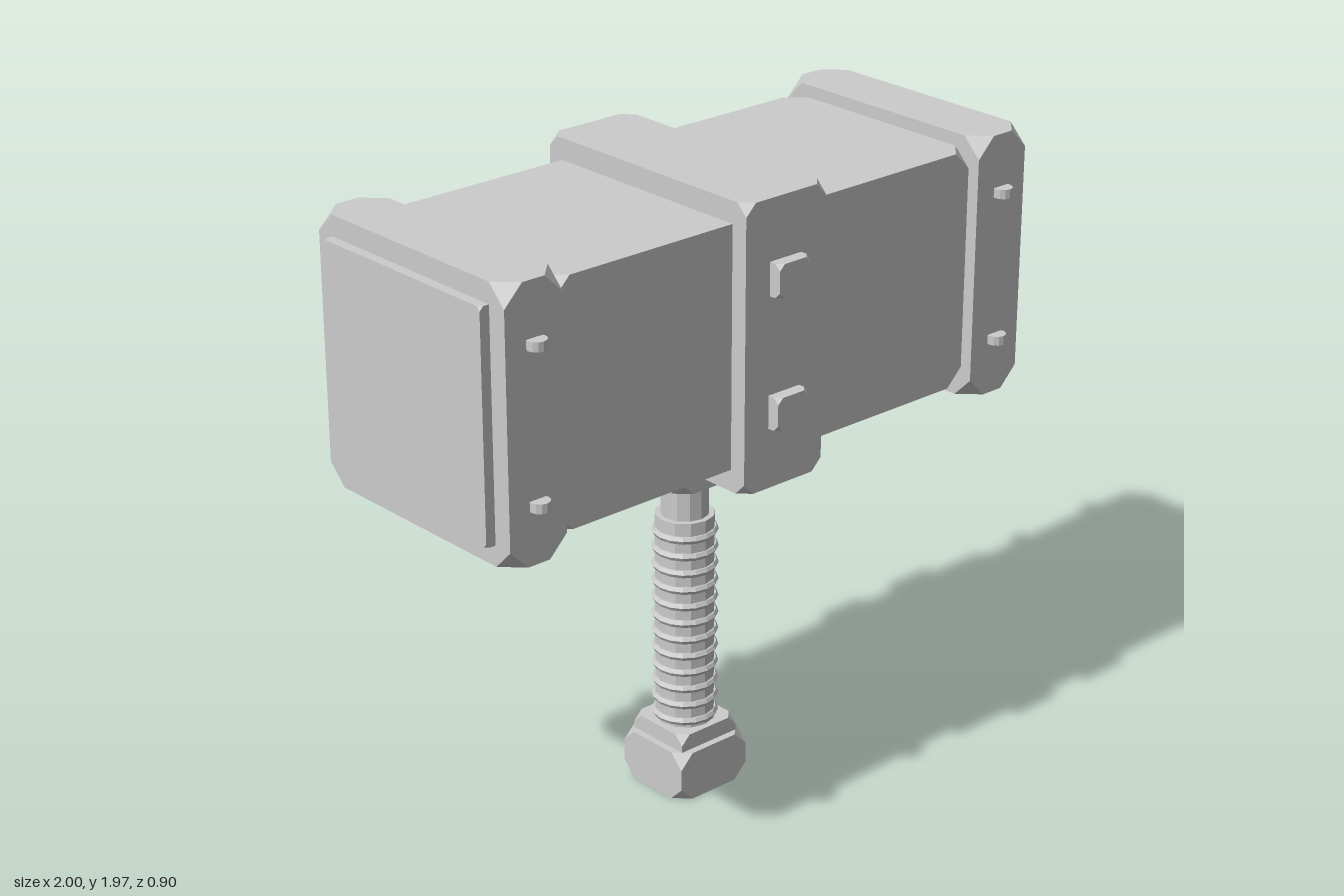
import * as THREE from 'three';
import { ConvexGeometry } from 'three/addons/geometries/ConvexGeometry.js';

// Box whose eight corners are sliced off by a distance c along each edge
function cutBox(w, h, d, c) {
  const points = [];
  for (const x of [-1, 1]) for (const y of [-1, 1]) for (const z of [-1, 1]) {
    const p = new THREE.Vector3(x * w / 2, y * h / 2, z * d / 2);
    points.push(
      p.clone().setX(p.x - x * c),
      p.clone().setY(p.y - y * c),
      p.clone().setZ(p.z - z * c));
  }
  return new ConvexGeometry(points);
}

export function createModel() {
  const group = new THREE.Group();
  const stone = new THREE.MeshStandardMaterial({ color: 0xcccccc, flatShading: true });
  stone.name = 'plain grey';

  function add(name, geometry, x, y, z) {
    const mesh = new THREE.Mesh(geometry, stone);
    mesh.name = name;
    mesh.position.set(x, y, z);
    group.add(mesh);
    return mesh;
  }

  // Head
  const headY = 1.542;
  add('headBlock', cutBox(1.6, 0.726, 0.714, 0.08), 0, headY, 0);
  add('centreBand', cutBox(0.296, 0.858, 0.822, 0.035), 0, headY, 0);

  // End bands, striking plates and their rivets
  for (const sx of [-1, 1]) {
    add('endBand', cutBox(0.194, 0.804, 0.792, 0.06), sx * 0.872, headY, 0);
    add('strikingPlate', cutBox(0.1, 0.68, 0.67, 0.012), sx * 0.95, headY, 0);
    for (const sz of [-1, 1]) for (const sy of [-1, 1]) {
      add('endRivet', new THREE.CylinderGeometry(0.03, 0.03, 0.028, 12),
        sx * 0.872, headY + sy * 0.228, sz * 0.404);
    }
  }

  // Square studs on the centre band
  for (const sz of [-1, 1]) for (const sy of [-1, 1]) {
    add('bandStud', cutBox(0.116, 0.1, 0.1, 0.018), 0, headY + sy * 0.197, sz * 0.4);
  }

  // Collar under the head
  add('collar', cutBox(0.306, 0.2, 0.31, 0.046), 0, 1.122, 0);

  // Shaft and ribbed grip
  add('shaft', new THREE.CylinderGeometry(0.073, 0.073, 0.3, 12), 0, 0.95, 0);
  add('grip', new THREE.CylinderGeometry(0.09, 0.09, 0.7, 12), 0, 0.53, 0);
  for (let i = 0; i < 12; i++) {
    const ring = add('gripRing', new THREE.TorusGeometry(0.087, 0.013, 6, 16), 0, 0.228 + i * 0.0545, 0);
    ring.rotation.x = Math.PI / 2;
  }

  // Pommel
  add('pommelNeck', cutBox(0.216, 0.1, 0.216, 0.03), 0, 0.157, 0);
  add('pommel', cutBox(0.26, 0.156, 0.26, 0.045), 0, 0.078, 0);

  return group;
}
